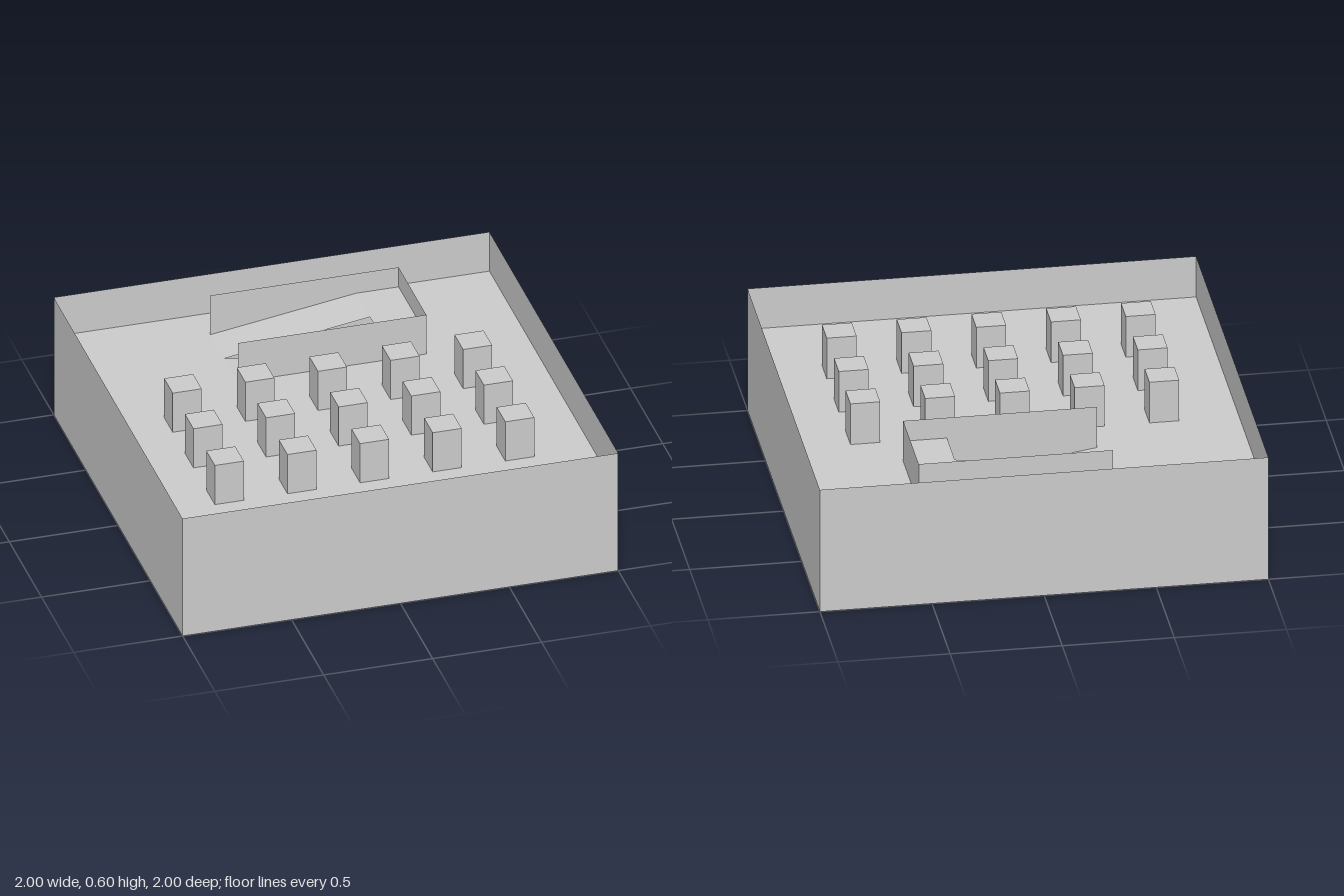
import * as THREE from 'three';

const STOREY = 0.2, STOREYS = 3, TOP = STOREY * STOREYS;
// Ramp well: foot of ramps, start of landing, end of landing; back, middle, front
const X0 = -0.335, X1 = 0.335, X2 = 0.53;
const Z0 = -0.82, ZM = -0.605, Z1 = -0.39;

export function createModel() {
  const group = new THREE.Group();
  const mat = new THREE.MeshStandardMaterial({ color: 0xcccccc, side: THREE.DoubleSide, flatShading: true });

  const add = (name, geo) => {
    const mesh = new THREE.Mesh(geo, mat);
    mesh.name = name;
    group.add(mesh);
    return mesh;
  };

  // Upright thin wall between two plan points, full building height
  const wall = (name, xa, za, xb, zb) => {
    const geo = new THREE.PlaneGeometry(Math.hypot(xb - xa, zb - za), TOP);
    geo.rotateY(-Math.atan2(zb - za, xb - xa));
    add(name, geo).position.set((xa + xb) / 2, TOP / 2, (za + zb) / 2);
  };

  // Thin deck whose height runs from ya at xa to yb at xb
  const deck = (name, xa, ya, xb, yb, za, zb) => {
    const geo = new THREE.PlaneGeometry(Math.hypot(xb - xa, yb - ya), zb - za);
    geo.rotateX(-Math.PI / 2).rotateZ(Math.atan2(yb - ya, xb - xa));
    add(name, geo).position.set((xa + xb) / 2, (ya + yb) / 2, (za + zb) / 2);
  };

  // Outer walls
  wall('frontWall', -1, 1, 1, 1);
  wall('rightWall', -1, -1, -1, 1);
  wall('backWall', 1, -1, -1, -1);
  wall('leftWall', 1, 1, 1, -1);

  // Walls around the ramp well, open at the foot
  wall('rampFrontWall', X0, Z1, X2, Z1);
  wall('rampBackWall', X2, Z0, X0, Z0);
  wall('rampEndWall', X2, Z1, X2, Z0);

  for (let i = 0; i < STOREYS; i++) {
    const y = i * STOREY, mid = y + STOREY / 2;

    // Floor, with the ramp well cut out above ground
    const shape = new THREE.Shape();
    shape.moveTo(-1, -1).lineTo(1, -1).lineTo(1, 1).lineTo(-1, 1).closePath();
    if (i > 0) {
      const well = new THREE.Path();
      well.moveTo(X0, -Z0).lineTo(X2, -Z0).lineTo(X2, -Z1).lineTo(X0, -Z1).closePath();
      shape.holes.push(well);
    }
    add('floor', new THREE.ShapeGeometry(shape).rotateX(-Math.PI / 2)).position.y = y;

    // Half-turn ramp: up the back lane, across the landing, up the front lane
    deck('lowerRamp', X0, y, X1, mid, Z0, ZM);
    deck('landing', X1, mid, X2, mid, Z0, Z1);
    if (i < STOREYS - 1) deck('upperRamp', X0, y + STOREY, X1, mid, ZM, Z1);

    // Grid of square columns
    for (const z of [-0.122, 0.2, 0.532]) {
      for (let c = -2; c <= 2; c++) {
        add('column', new THREE.BoxGeometry(0.133, STOREY, 0.133))
          .position.set(c / 3, y + STOREY / 2, z);
      }
    }
  }
  return group;
}
